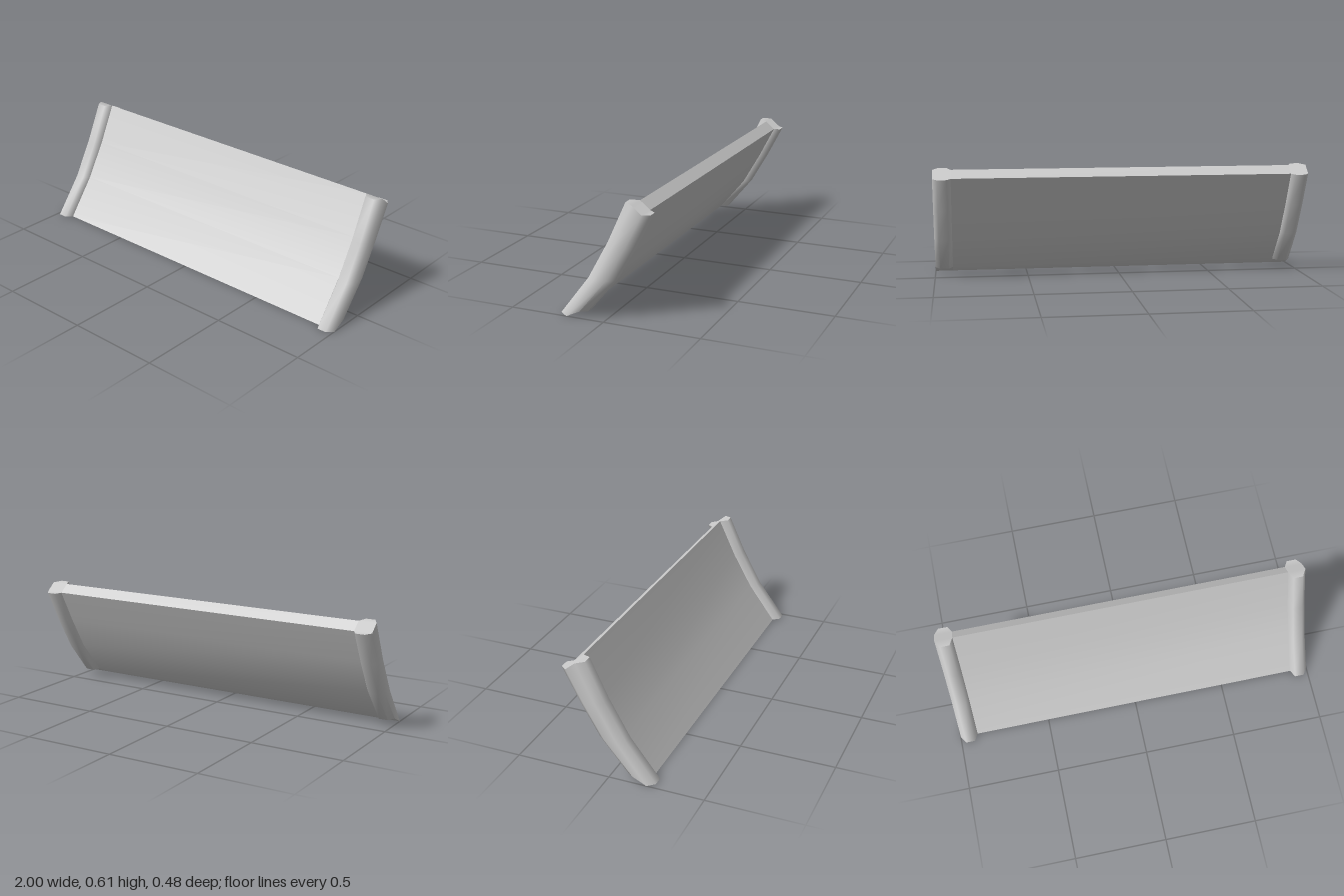
import * as THREE from 'three';
import { toCreasedNormals } from 'three/addons/utils/BufferGeometryUtils.js';

// Curved side profiles as [z, y], bottom to top, from the front skin to the back
const FRONT = [[0.24, 0.006], [0.087, 0.207], [-0.02, 0.4], [-0.115, 0.605]];
const PANEL_FRONT = [[0.2, 0], [0.048, 0.205], [-0.06, 0.395], [-0.157, 0.6]];
const PANEL_BACK = [[0.127, 0.035], [-0.018, 0.21], [-0.118, 0.384], [-0.208, 0.558]];
const BACK = [[0.095, 0.031], [-0.05, 0.207], [-0.15, 0.38], [-0.24, 0.555]];

// Lofts a ring of [x, profile] corners through all stations and caps both ends
function loft(ring, capQuads, crease) {
  const n = ring.length, rows = FRONT.length;
  const positions = [], index = [];
  for (let i = 0; i < rows; i++) {
    for (const [x, profile] of ring) positions.push(x, profile[i][1], profile[i][0]);
  }
  const quad = (a, b, c, d) => index.push(a, b, c, a, c, d);
  for (let i = 0; i < rows - 1; i++) {
    for (let j = 0; j < n; j++) {
      const k = (j + 1) % n;
      quad(i * n + j, i * n + k, (i + 1) * n + k, (i + 1) * n + j);
    }
  }
  const top = (rows - 1) * n;
  for (const [a, b, c, d] of capQuads) {
    quad(top + a, top + b, top + c, top + d);
    quad(d, c, b, a);
  }
  const geometry = new THREE.BufferGeometry();
  geometry.setAttribute('position', new THREE.Float32BufferAttribute(positions, 3));
  geometry.setIndex(index);
  return toCreasedNormals(geometry, crease);
}

export function createModel() {
  const group = new THREE.Group();
  const material = new THREE.MeshStandardMaterial({ color: 0xcccccc });
  const add = (name, geometry) => {
    const mesh = new THREE.Mesh(geometry, material);
    mesh.name = name;
    group.add(mesh);
  };

  // Wide curved panel
  add('panel', loft(
    [[-0.905, PANEL_FRONT], [0.905, PANEL_FRONT], [0.905, PANEL_BACK], [-0.905, PANEL_BACK]],
    [[0, 1, 2, 3]], 0.6));

  // Thick bevelled rail along each side
  const rail = [
    [0.905, PANEL_FRONT], [0.925, FRONT], [0.975, FRONT], [1, PANEL_FRONT],
    [1, PANEL_BACK], [0.975, BACK], [0.925, BACK], [0.905, PANEL_BACK],
  ];
  const railCaps = [[0, 1, 2, 3], [0, 3, 4, 7], [4, 5, 6, 7]];
  add('leftRail', loft(rail, railCaps, 1.15));
  add('rightRail', loft(rail.map(([x, p]) => [-x, p]).reverse(), railCaps, 1.15));

  return group;
}
